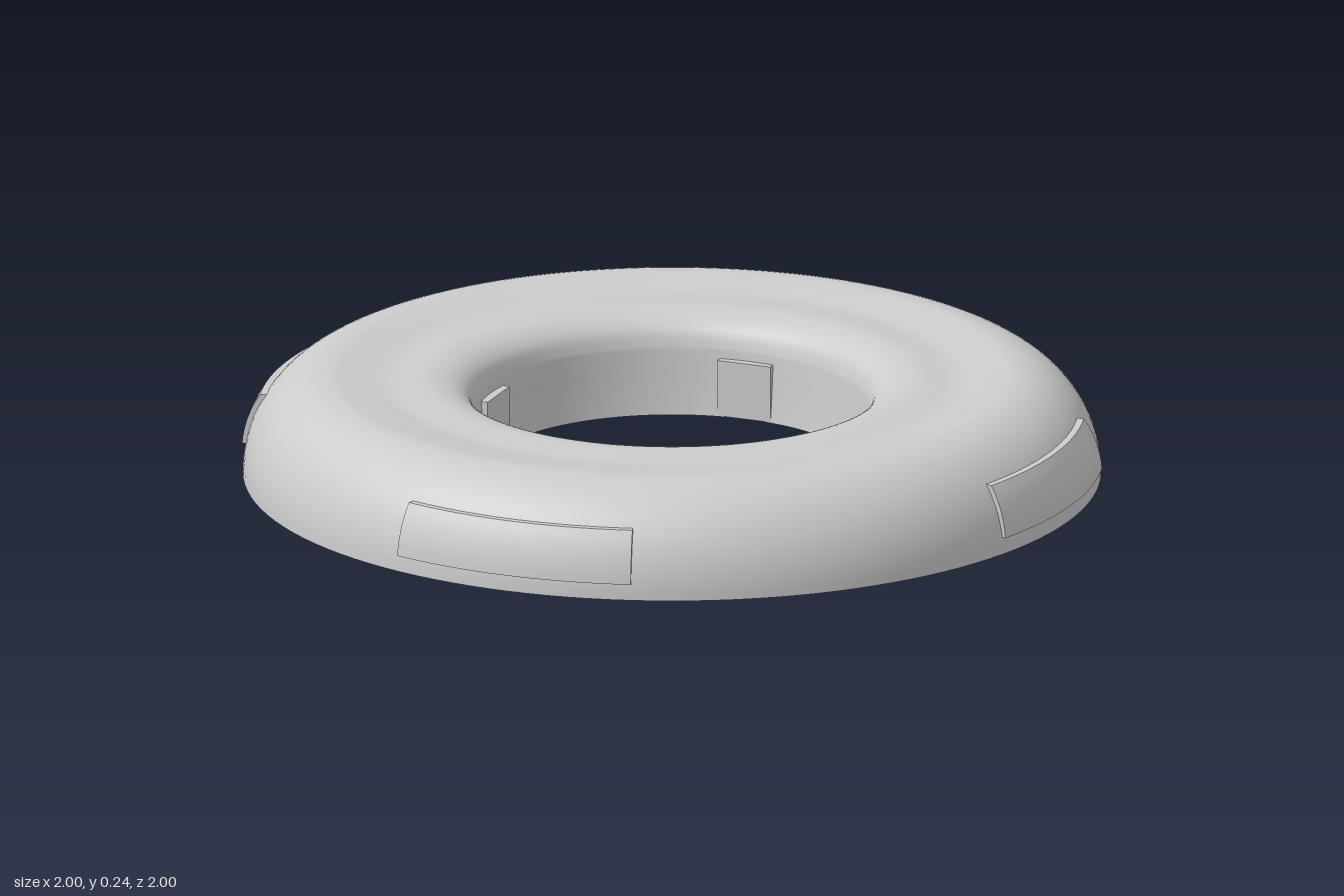
import * as THREE from 'three';

const HEIGHT = 0.243;
const material = new THREE.MeshStandardMaterial({ color: 0xcccccc });
const v = (x, y) => new THREE.Vector2(x, y);

// Radius of the rounded outer flank at height y
const flankRadius = (y) => 0.79 + 0.21 * Math.sqrt(Math.max(0, 1 - (y / HEIGHT) ** 2));

function addMesh(parent, name, geometry) {
  const mesh = new THREE.Mesh(geometry, material);
  mesh.name = name;
  parent.add(mesh);
  return mesh;
}

// Rounded flank, shallow groove on top, rolled inner lip and tapered bore
function shellGeometry() {
  const points = [];
  for (let i = 0; i <= 20; i++) {
    const a = (i / 20) * Math.PI / 2;
    points.push(v(0.79 + 0.21 * Math.cos(a), HEIGHT * Math.sin(a)));
  }
  const top = new THREE.SplineCurve([
    v(0.79, 0.243), v(0.73, 0.236), v(0.665, 0.228), v(0.61, 0.232),
    v(0.56, 0.234), v(0.51, 0.222), v(0.475, 0.195), v(0.46, 0.155),
  ]);
  points.push(...top.getPoints(32).slice(1));
  points.push(v(0.455, 0.1), v(0.45, 0.05), v(0.443, 0));
  return new THREE.LatheGeometry(points, 128);
}

// Low raised panel wrapped around the flank
function panelGeometry(halfAngle, yMin, yMax, lift) {
  const geometry = new THREE.BoxGeometry(2, 1, 1, 24, 8, 1);
  const pos = geometry.attributes.position;
  for (let i = 0; i < pos.count; i++) {
    const angle = pos.getX(i) * halfAngle;
    const t = pos.getY(i) + 0.5;
    const y = yMin + t * (yMax - yMin);
    const outward = lift * (0.4 + 0.6 * (1 - t) * 0.3 + 0.6 * t);
    const r = flankRadius(y) + (pos.getZ(i) > 0 ? outward : -0.02);
    pos.setXYZ(i, r * Math.sin(angle), y, r * Math.cos(angle));
  }
  geometry.computeVertexNormals();
  return geometry;
}

export function createModel() {
  const model = new THREE.Group();
  model.name = 'ringBase';

  addMesh(model, 'ringShell', shellGeometry());

  // Flat underside with a faint inner step
  addMesh(model, 'underside', new THREE.LatheGeometry(
    [v(0.443, 0.001), v(0.575, 0.001), v(0.577, 0), v(1, 0)], 128));

  // Four panels outside and four locating tabs inside, on the diagonals
  const panel = panelGeometry(THREE.MathUtils.degToRad(17), 0.04, 0.16, 0.016);
  const tab = new THREE.BoxGeometry(0.134, 0.135, 0.03);
  for (let i = 0; i < 4; i++) {
    const station = new THREE.Group();
    station.name = 'station' + (i + 1);
    station.rotation.y = Math.PI / 4 + i * Math.PI / 2;
    addMesh(station, 'sidePanel', panel);
    addMesh(station, 'innerTab', tab).position.set(0, 0.0695, 0.452);
    model.add(station);
  }
  return model;
}
